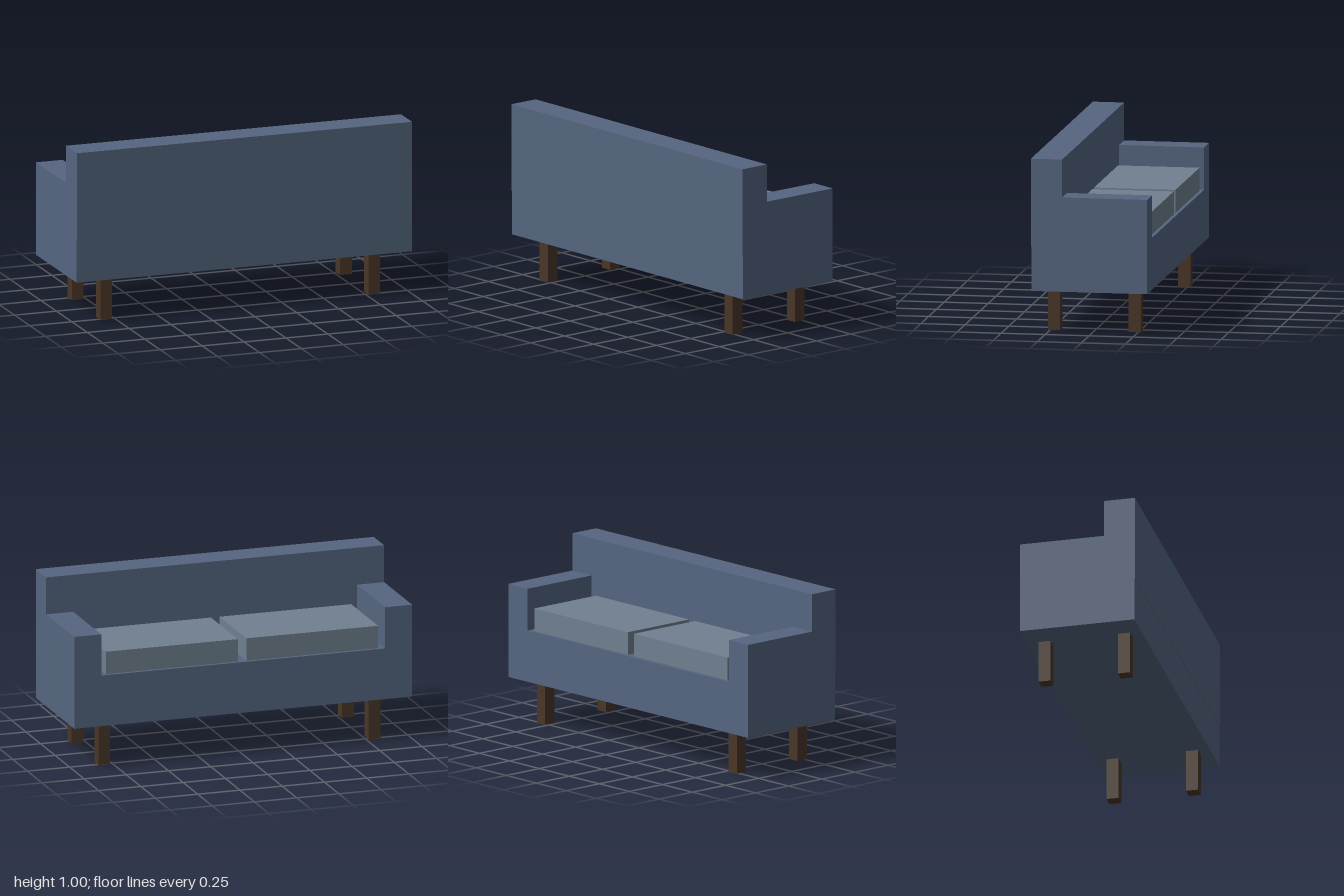
import * as THREE from 'three';

export function createModel() {
  const sofa = new THREE.Group();
  sofa.name = 'sofa';

  const fabric = new THREE.MeshStandardMaterial({ color: 0x556680 });
  const cushionFabric = new THREE.MeshStandardMaterial({ color: 0x708090 });
  const wood = new THREE.MeshStandardMaterial({ color: 0x4a3728 });

  // Box given by its extents along each axis
  function addBox(name, material, [x0, x1], [y0, y1], [z0, z1]) {
    const mesh = new THREE.Mesh(new THREE.BoxGeometry(x1 - x0, y1 - y0, z1 - z0), material);
    mesh.position.set((x0 + x1) / 2, (y0 + y1) / 2, (z0 + z1) / 2);
    mesh.name = name;
    sofa.add(mesh);
  }

  // Upholstered body: the seat opens towards -z, the backrest stands at +z
  addBox('seatBase', fabric, [-1, 1], [0.245, 0.54], [-0.33, 0.328]);
  addBox('backrest', fabric, [-1, 1], [0.495, 0.995], [0.153, 0.331]);

  for (const side of [-1, 1]) {
    const label = side > 0 ? 'left' : 'right';
    const span = (a, b) => (side > 0 ? [a, b] : [-b, -a]);

    // Armrest and seat cushion
    addBox(label + 'Armrest', fabric, span(0.84, 1), [0.54, 0.78], [-0.33, 0.153]);
    addBox(label + 'Cushion', cushionFabric, span(0.025, 0.805), [0.54, 0.67], [-0.31, 0.153]);

    // Square legs
    addBox(label + 'FrontLeg', wood, span(0.765, 0.835), [0, 0.245], [0.193, 0.263]);
    addBox(label + 'BackLeg', wood, span(0.765, 0.835), [0, 0.245], [-0.265, -0.195]);
  }

  return sofa;
}
